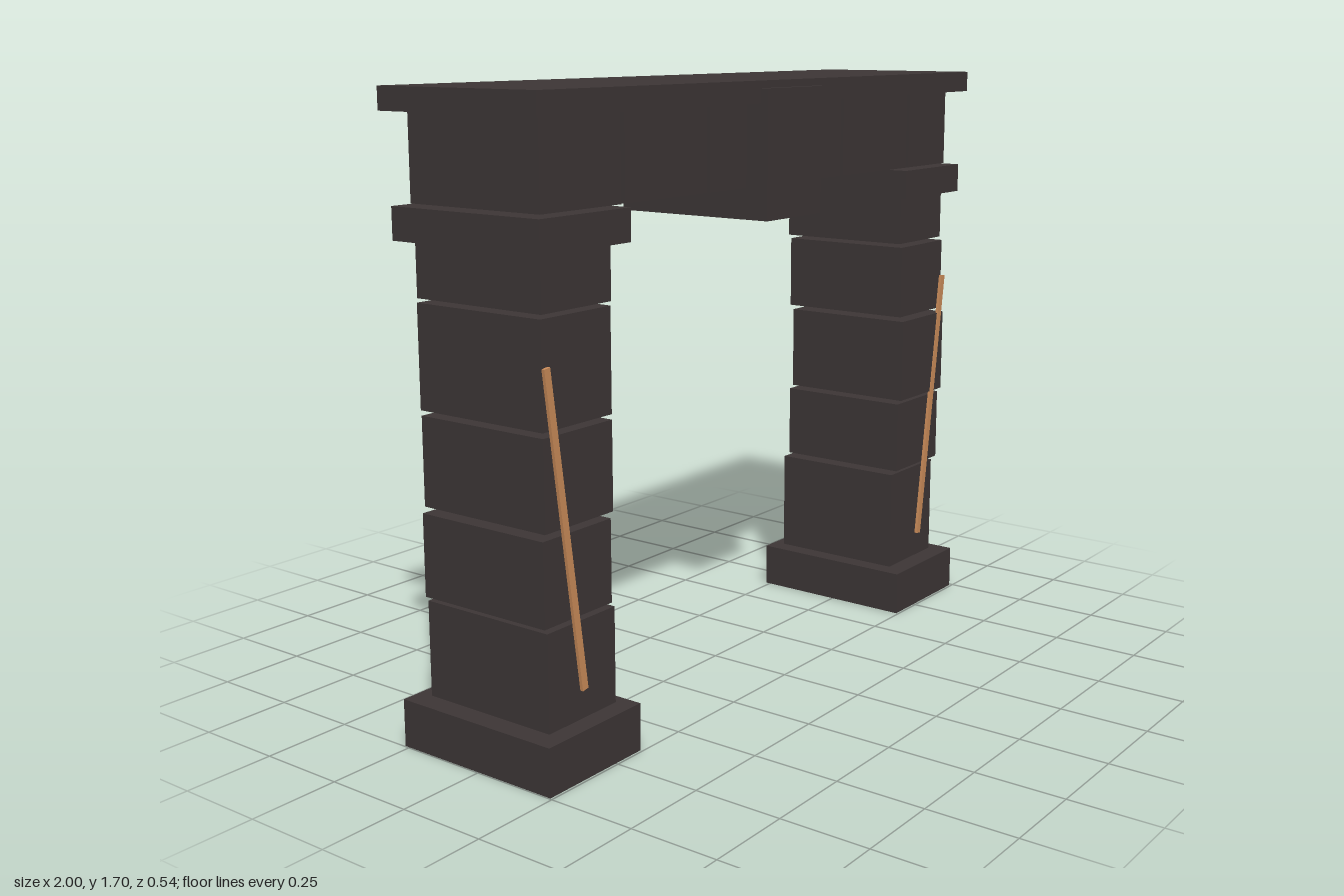
import * as THREE from 'three';

const stone = new THREE.MeshStandardMaterial({ color: 0x3d3636 });
stone.name = 'dark stone';
const copper = new THREE.MeshStandardMaterial({ color: 0xcb8c5a });
copper.name = 'copper';

// Box given by its limits on each axis
function block(name, [x0, x1], [y0, y1], [z0, z1]) {
  const mesh = new THREE.Mesh(new THREE.BoxGeometry(x1 - x0, y1 - y0, z1 - z0), stone);
  mesh.position.set((x0 + x1) / 2, (y0 + y1) / 2, (z0 + z1) / 2);
  mesh.name = name;
  return mesh;
}

// Pillar: plinth, five slightly shifted stones and a capital
function pillar(name, plinthX, capitalX, stones) {
  const g = new THREE.Group();
  g.name = name;
  g.add(block('plinth', plinthX, [0, 0.13], [-0.265, 0.243]));
  stones.forEach(([x, y, z], i) => g.add(block('pillarStone' + (i + 1), x, y, z)));
  g.add(block('capital', capitalX, [1.325, 1.41], [-0.252, 0.235]));
  return g;
}

// Slanted inlay strip on the front of a pillar
function inlay(name, side) {
  const top = new THREE.Vector2(0.943 * side, 1.055);
  const bottom = new THREE.Vector2(0.826 * side, 0.218);
  const d = top.clone().sub(bottom);
  const mesh = new THREE.Mesh(new THREE.BoxGeometry(0.021, d.length(), 0.009), copper);
  mesh.position.set((top.x + bottom.x) / 2, (top.y + bottom.y) / 2, 0.208);
  mesh.rotation.z = Math.atan2(-d.x, d.y);
  mesh.name = name;
  return mesh;
}

export function createModel() {
  const model = new THREE.Group();
  model.name = 'stoneGateway';

  model.add(pillar('rightPillar', [-0.997, -0.65], [-0.985, -0.658], [
    [[-0.945, -0.692], [0.135, 0.395], [-0.215, 0.196]],
    [[-0.958, -0.707], [0.41, 0.632], [-0.21, 0.2]],
    [[-0.943, -0.69], [0.645, 0.882], [-0.217, 0.194]],
    [[-0.947, -0.694], [0.897, 1.17], [-0.215, 0.197]],
    [[-0.95, -0.698], [1.182, 1.32], [-0.21, 0.203]],
  ]));
  model.add(pillar('leftPillar', [0.643, 0.99], [0.655, 0.981], [
    [[0.683, 0.936], [0.135, 0.44], [-0.222, 0.19]],
    [[0.695, 0.947], [0.452, 0.67], [-0.211, 0.2]],
    [[0.7, 0.953], [0.682, 0.935], [-0.203, 0.209]],
    [[0.703, 0.955], [0.948, 1.167], [-0.217, 0.197]],
    [[0.702, 0.954], [1.178, 1.32], [-0.225, 0.19]],
  ]));

  // Lintel stones with narrow joints, keystone and cover slab
  const lintel = new THREE.Group();
  lintel.name = 'lintel';
  const spans = [[-0.947, -0.655], [-0.641, -0.309], [-0.295, 0.02], [0.03, 0.333], [0.345, 0.707], [0.719, 0.942]];
  spans.forEach((x, i) => lintel.add(block('lintelStone' + (i + 1), x, [1.415, 1.642], [-0.224, 0.203])));
  lintel.add(block('keystone', [-0.132, 0.128], [1.33, 1.68], [-0.228, 0.27]));
  lintel.add(block('coverSlab', [-1, 1], [1.64, 1.7], [-0.27, 0.248]));
  model.add(lintel);

  model.add(inlay('rightInlay', -1), inlay('leftInlay', 1));
  return model;
}
